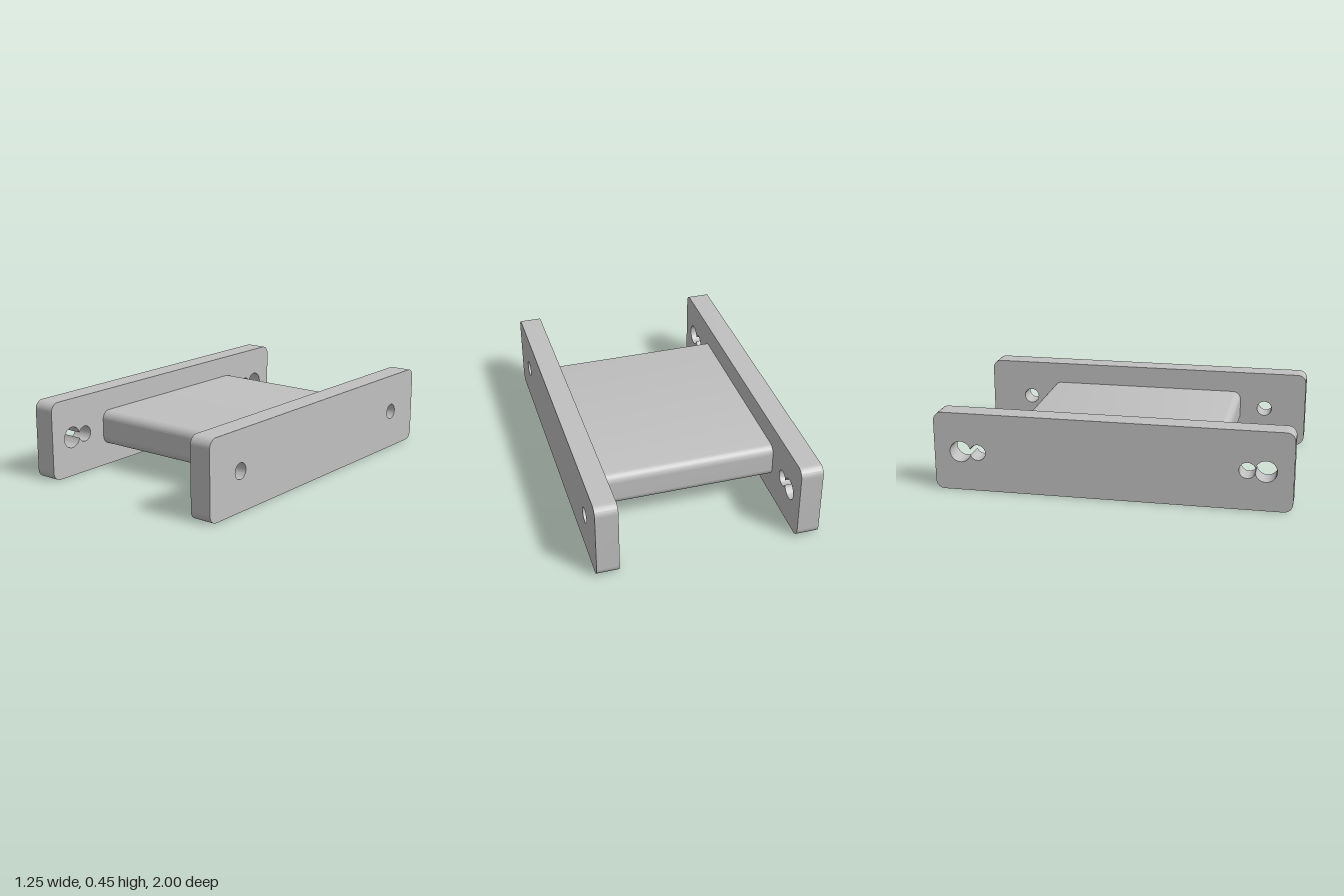
import * as THREE from 'three';
import { toCreasedNormals } from 'three/addons/utils/BufferGeometryUtils.js';

const HEIGHT = 0.45, THICK = 0.125, INNER = 0.5, MID = HEIGHT / 2;
const HOLE_Z = 0.75, HOLE_R = 0.045, WIDE_Z = 0.85, WIDE_R = 0.06;

// Rounded rectangle centred on (0, MID)
function roundedRect(w, h, r) {
  const s = new THREE.Shape();
  const x = w / 2 - r, y = h / 2 - r;
  s.absarc(x, MID + y, r, 0, Math.PI / 2);
  s.absarc(-x, MID + y, r, Math.PI / 2, Math.PI);
  s.absarc(-x, MID - y, r, Math.PI, Math.PI * 1.5);
  s.absarc(x, MID - y, r, Math.PI * 1.5, Math.PI * 2);
  s.closePath();
  return s;
}

// Plain round bolt hole
function roundHole(side) {
  return new THREE.Path().absarc(side * HOLE_Z, MID, HOLE_R, 0, Math.PI * 2, true);
}

// Keyhole: a small hole merging into a wider one nearer the plate's end
function keyhole(side) {
  const d = WIDE_Z - HOLE_Z;
  const a = (d * d + HOLE_R ** 2 - WIDE_R ** 2) / (2 * d);
  const small = Math.acos(a / HOLE_R), wide = Math.acos((d - a) / WIDE_R);
  const turn = side > 0 ? 0 : Math.PI;
  const p = new THREE.Path();
  p.absarc(side * HOLE_Z, MID, HOLE_R, turn + small, turn + Math.PI * 2 - small, false);
  p.absarc(side * WIDE_Z, MID, WIDE_R, turn + Math.PI + wide, turn + Math.PI * 3 - wide, false);
  p.closePath();
  return p;
}

// Extrude a side profile along x, starting at x0
function extrudeX(shape, x0, depth) {
  const g = new THREE.ExtrudeGeometry(shape, { depth, bevelEnabled: false, curveSegments: 16 });
  g.rotateY(Math.PI / 2).translate(x0, 0, 0);
  return toCreasedNormals(g, 0.6);
}

export function createModel() {
  const group = new THREE.Group();
  const grey = new THREE.MeshStandardMaterial({ color: 0xc0c0c0 });
  grey.name = 'grey';
  const add = (name, geometry) => {
    const mesh = new THREE.Mesh(geometry, grey);
    mesh.name = name;
    group.add(mesh);
  };

  // End plates: round holes on one, keyholes on the other
  const boltPlate = roundedRect(2, HEIGHT, 0.05);
  boltPlate.holes.push(roundHole(-1), roundHole(1));
  add('boltPlate', extrudeX(boltPlate, INNER, THICK));

  const keyholePlate = roundedRect(2, HEIGHT, 0.05);
  keyholePlate.holes.push(keyhole(-1), keyhole(1));
  add('keyholePlate', extrudeX(keyholePlate, -INNER - THICK, THICK));

  // Slab joining the plates
  add('crossSlab', extrudeX(roundedRect(1.2, 0.2, 0.05), -INNER, INNER * 2));

  return group;
}
